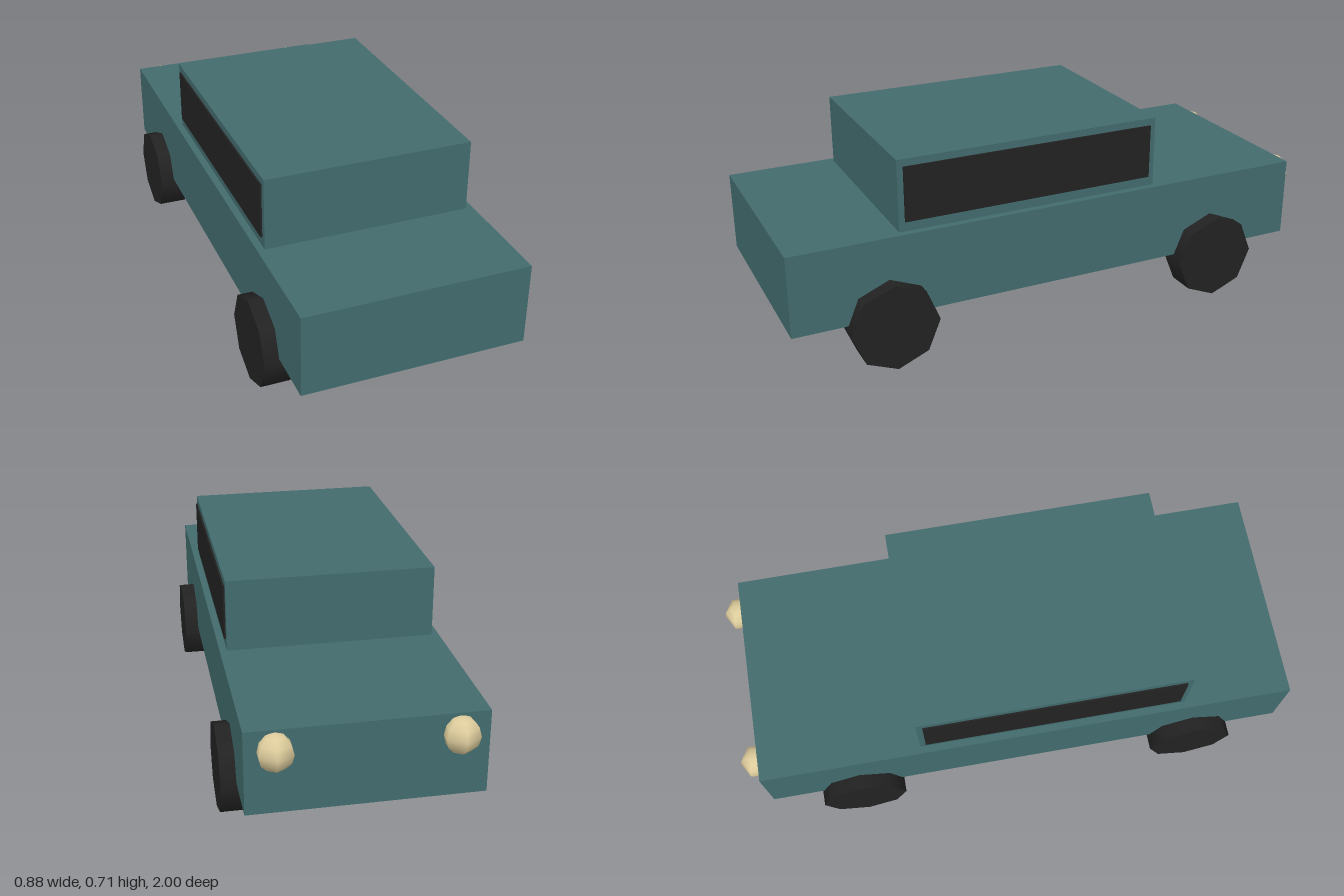
import * as THREE from 'three';

const paint = new THREE.MeshStandardMaterial({ color: 0x426b6d });
paint.name = 'teal paint';
const dark = new THREE.MeshStandardMaterial({ color: 0x222222 });
dark.name = 'dark rubber and glass';
const cream = new THREE.MeshStandardMaterial({ color: 0xddcc9c });
cream.name = 'cream lamp';

export function createModel() {
  const car = new THREE.Group();
  car.name = 'car';

  const add = (name, geometry, material, x, y, z) => {
    const mesh = new THREE.Mesh(geometry, material);
    mesh.name = name;
    mesh.position.set(x, y, z);
    car.add(mesh);
    return mesh;
  };

  // Lower body and cabin
  add('body', new THREE.BoxGeometry(0.772, 0.288, 1.93), paint, 0, 0.316, 0.035);
  add('cabin', new THREE.BoxGeometry(0.722, 0.253, 0.964), paint, 0, 0.5865, 0.13);

  // Eight-sided wheels with a corner pointing straight up, axle along x
  const wheelGeometry = new THREE.CylinderGeometry(0.155, 0.155, 0.104, 8).rotateZ(Math.PI / 2);
  const windowGeometry = new THREE.BoxGeometry(0.008, 0.193, 0.922);
  // Six-sided lamps with a corner pointing outward along z
  const lampGeometry = new THREE.SphereGeometry(0.063, 6, 6).rotateY(Math.PI / 2);

  for (const [side, s] of [['left', 1], ['right', -1]]) {
    add(side + 'Window', windowGeometry, dark, s * 0.363, 0.591, 0.13);
    add(side + 'FrontWheel', wheelGeometry, dark, s * 0.386, 0.155, 0.661);
    add(side + 'RearWheel', wheelGeometry, dark, s * 0.386, 0.155, -0.592);
    add(side + 'Lamp', lampGeometry, cream, s * 0.29, 0.39, -0.937);
  }

  return car;
}
